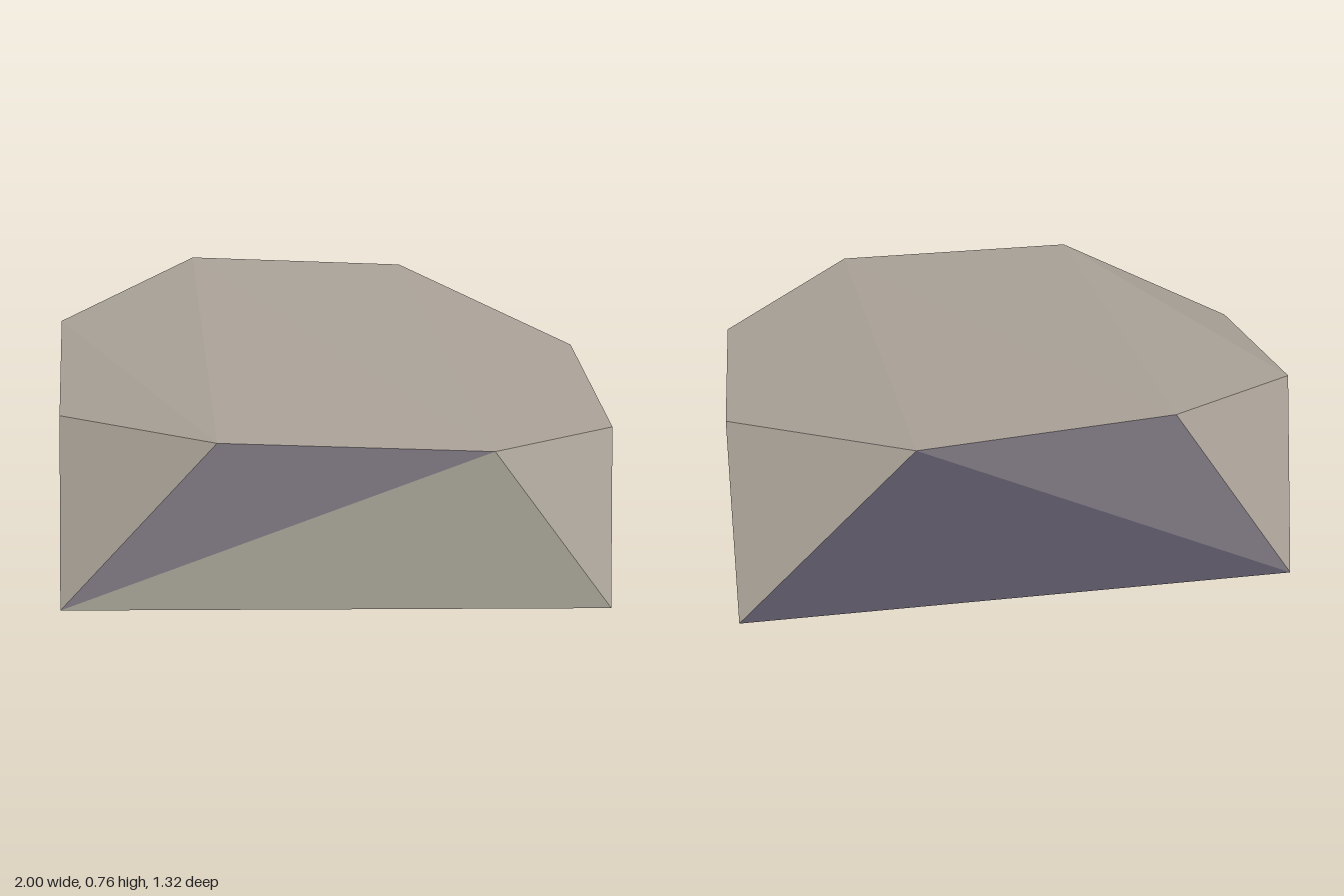
import * as THREE from 'three';

// Boulder corners: four on the ground, eight around the cut top
const P = {
  groundFL: [-0.93, 0, 0.63], groundFR: [1, 0, 0.66],
  groundBR: [0.97, 0, -0.66], groundBL: [-1, 0, -0.635],
  A: [-0.35, 0.695, 0.63], B: [0.54, 0.67, 0.66],
  C: [1, 0.56, 0.355], D: [0.97, 0.558, -0.235],
  E: [0.33, 0.705, -0.66], F: [-0.51, 0.757, -0.635],
  G: [-1, 0.645, -0.31], H: [-0.93, 0.56, 0.24],
};
const centre = new THREE.Vector3(0, 0.33, 0);

// Builds flat facets from corner names, turning each one outward
function facets(name, material, triangles) {
  const positions = [];
  for (const names of triangles) {
    let [a, b, c] = names.split(' ').map((k) => new THREE.Vector3(...P[k]));
    const tri = new THREE.Triangle(a, b, c);
    const normal = tri.getNormal(new THREE.Vector3());
    if (normal.dot(a.clone().sub(centre)) < 0) [b, c] = [c, b];
    for (const v of [a, b, c]) positions.push(v.x, v.y, v.z);
  }
  const geometry = new THREE.BufferGeometry();
  geometry.setAttribute('position', new THREE.Float32BufferAttribute(positions, 3));
  geometry.computeVertexNormals();
  const mesh = new THREE.Mesh(geometry, material);
  mesh.name = name;
  return mesh;
}

function paint(name, color) {
  const material = new THREE.MeshStandardMaterial({ color });
  material.name = name;
  return material;
}

export function createModel() {
  const sand = paint('warm sandstone', 0xaaa298);
  const pale = paint('pale sandstone', 0xaaa699);
  const mauve = paint('mauve stone', 0x807984);
  const deep = paint('deep mauve stone', 0x625d6e);

  const rock = new THREE.Group();
  rock.name = 'boulder';
  rock.add(
    facets('top', sand, ['G H A', 'F G A', 'F A B', 'F B E', 'B C E', 'C D E']),
    facets('cornerFacets', sand, [
      'groundFL H A', 'groundFR B C', 'groundBR D E', 'groundBL F G',
    ]),
    facets('frontLowerFacet', pale, ['groundFL groundFR B']),
    facets('frontUpperFacet', mauve, ['groundFL B A']),
    facets('leftSide', mauve, ['groundFR groundBR C', 'groundBR D C']),
    facets('rightSide', mauve, ['groundBL groundFL G', 'groundFL H G']),
    facets('backUpperFacet', mauve, ['groundBL E F']),
    facets('backLowerFacet', deep, ['groundBR groundBL E']),
    facets('underside', deep, ['groundFL groundFR groundBR', 'groundFL groundBR groundBL']),
  );
  return rock;
}
